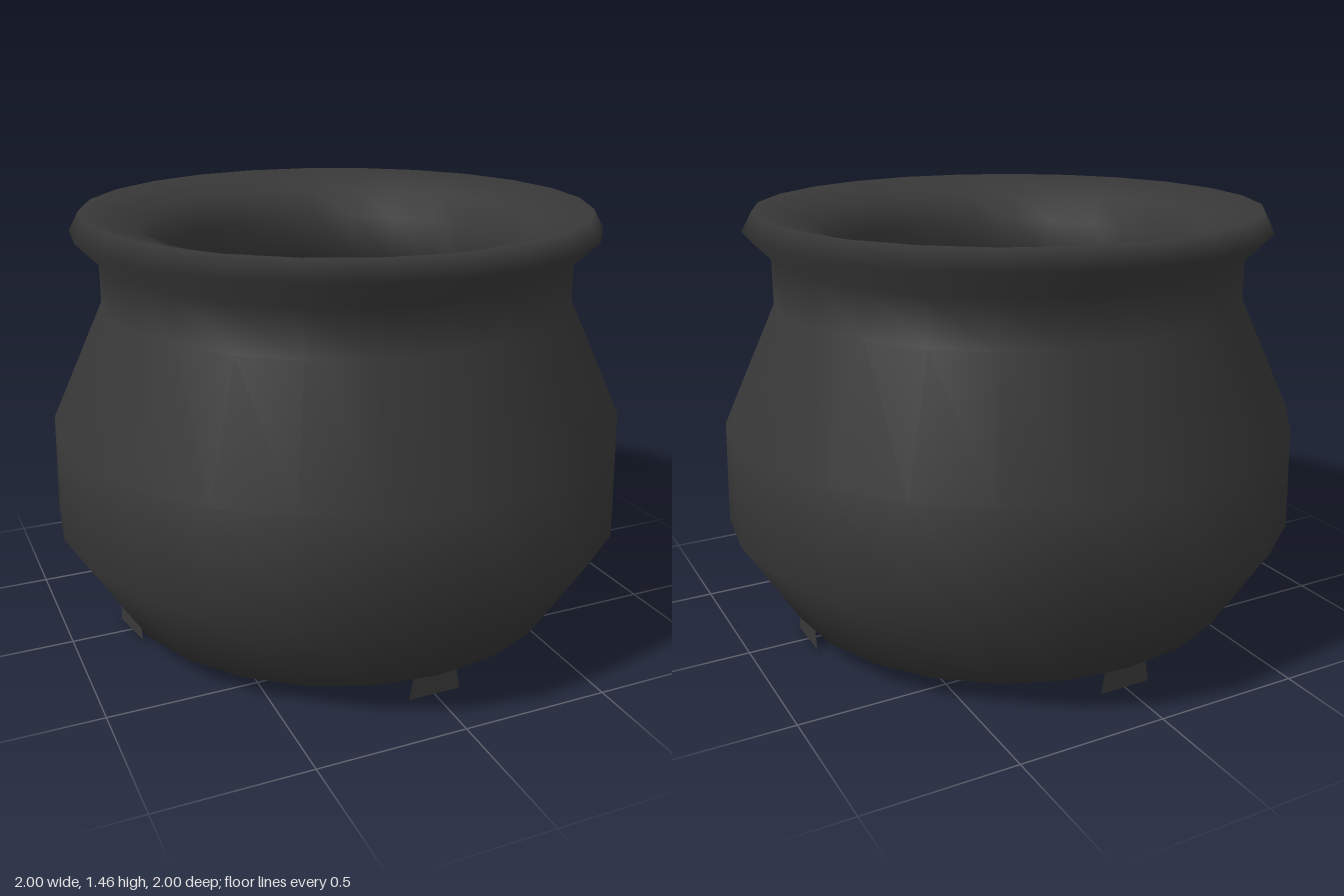
import * as THREE from 'three';

export function createModel() {
  const group = new THREE.Group();
  const iron = new THREE.MeshStandardMaterial({ color: 0x383838 });
  const plateIron = new THREE.MeshStandardMaterial({ color: 0x383838, side: THREE.DoubleSide });

  // Thick-walled pot: up the outside, over the rim, down the inside
  const profile = [
    [0, 0.08], [0.81, 0.08], [1, 0.39], [0.99, 0.74], [0.805, 1.145], [0.805, 1.3],
    [0.895, 1.39], [0.86, 1.455], [0.665, 1.4],
    [0.605, 1.3], [0.605, 1.145], [0.79, 0.74], [0.8, 0.45], [0.61, 0.25], [0, 0.2],
  ].map(([r, y]) => new THREE.Vector2(r, y));
  const pot = new THREE.Mesh(new THREE.LatheGeometry(profile, 24), iron);
  pot.name = 'pot';
  group.add(pot);

  // Thin foot plate, flaring slightly towards the ground
  const plate = new THREE.Shape([
    new THREE.Vector2(-0.09, 0), new THREE.Vector2(0.09, 0),
    new THREE.Vector2(0.075, 0.09), new THREE.Vector2(-0.075, 0.09),
  ]);
  const footGeometry = new THREE.ShapeGeometry(plate);

  // Four feet around the base; the right one is set a little askew
  const feet = [
    ['frontFoot', 0, 0], ['leftFoot', 1, 0], ['backFoot', 2, 0], ['rightFoot', 3, 0.18],
  ];
  for (const [name, quarter, twist] of feet) {
    const angle = quarter * Math.PI / 2;
    const foot = new THREE.Mesh(footGeometry, plateIron);
    foot.name = name;
    foot.position.set(Math.sin(angle) * 0.79, 0, Math.cos(angle) * 0.79);
    foot.rotation.y = angle + twist;
    group.add(foot);
  }
  return group;
}
